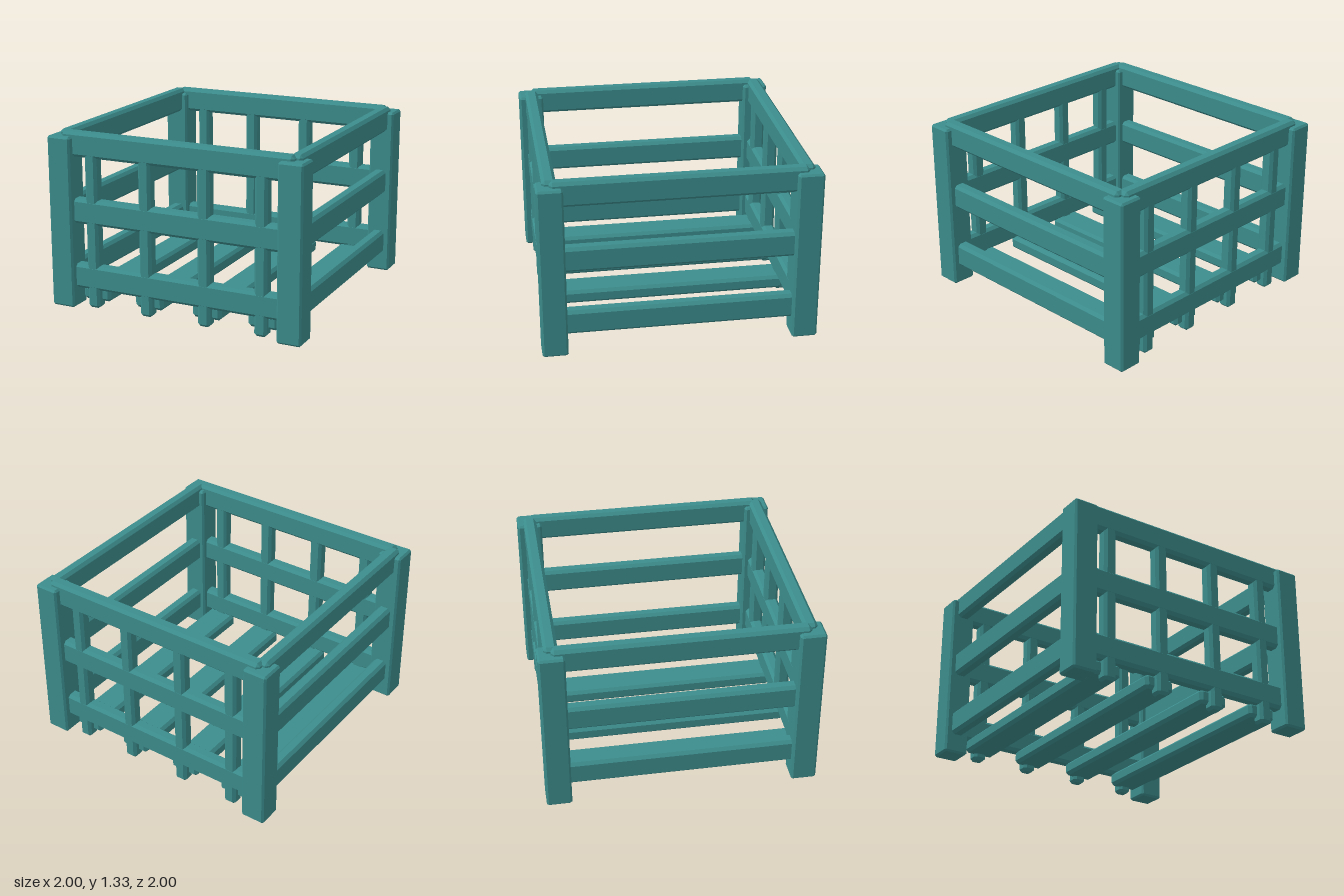
import * as THREE from 'three';
import { ConvexGeometry } from 'three/addons/geometries/ConvexGeometry.js';

// Box with flat chamfered edges, given by its min and max corners
function chamferBox(min, max, c) {
  const half = max.map((v, i) => (v - min[i]) / 2);
  const mid = max.map((v, i) => (v + min[i]) / 2);
  const points = [];
  for (const sx of [-1, 1]) for (const sy of [-1, 1]) for (const sz of [-1, 1]) {
    for (let face = 0; face < 3; face++) {
      const p = [sx, sy, sz].map((s, i) => mid[i] + s * (half[i] - (i === face ? 0 : c)));
      points.push(new THREE.Vector3(...p));
    }
  }
  return new ConvexGeometry(points);
}

export function createModel() {
  const crate = new THREE.Group();
  crate.name = 'crate';
  const paint = new THREE.MeshStandardMaterial({ color: 0x3c8c8c });
  paint.name = 'teal paint';

  const add = (name, min, max, c) => {
    const mesh = new THREE.Mesh(chamferBox(min, max, c), paint);
    mesh.name = name;
    crate.add(mesh);
  };

  // Corner posts
  for (const x of [-0.907, 0.907]) for (const z of [-0.907, 0.907]) {
    add('cornerPost', [x - 0.093, 0, z - 0.093], [x + 0.093, 1.29, z + 0.093], 0.014);
  }

  // Three rails on each of the four sides
  for (const [bottom, top] of [[0.145, 0.33], [0.64, 0.828], [1.14, 1.325]]) {
    for (const s of [-0.903, 0.903]) {
      add('endRail', [-0.91, bottom, s - 0.05], [0.91, top, s + 0.05], 0.022);
      add('sideRail', [s - 0.05, bottom, -0.905], [s + 0.05, top, 0.905], 0.022);
    }
  }

  for (const x of [-0.675, -0.237, 0.23, 0.67]) {
    // Upright slats at front and back, flush with the rails
    for (const z of [-0.903, 0.903]) {
      add('uprightSlat', [x - 0.049, 0.005, z - 0.049], [x + 0.049, 1.29, z + 0.049], 0.02);
    }
    // Floor board
    add('floorBoard', [x - 0.115, 0.05, -0.905], [x + 0.115, 0.155, 0.905], 0.022);
  }
  return crate;
}
